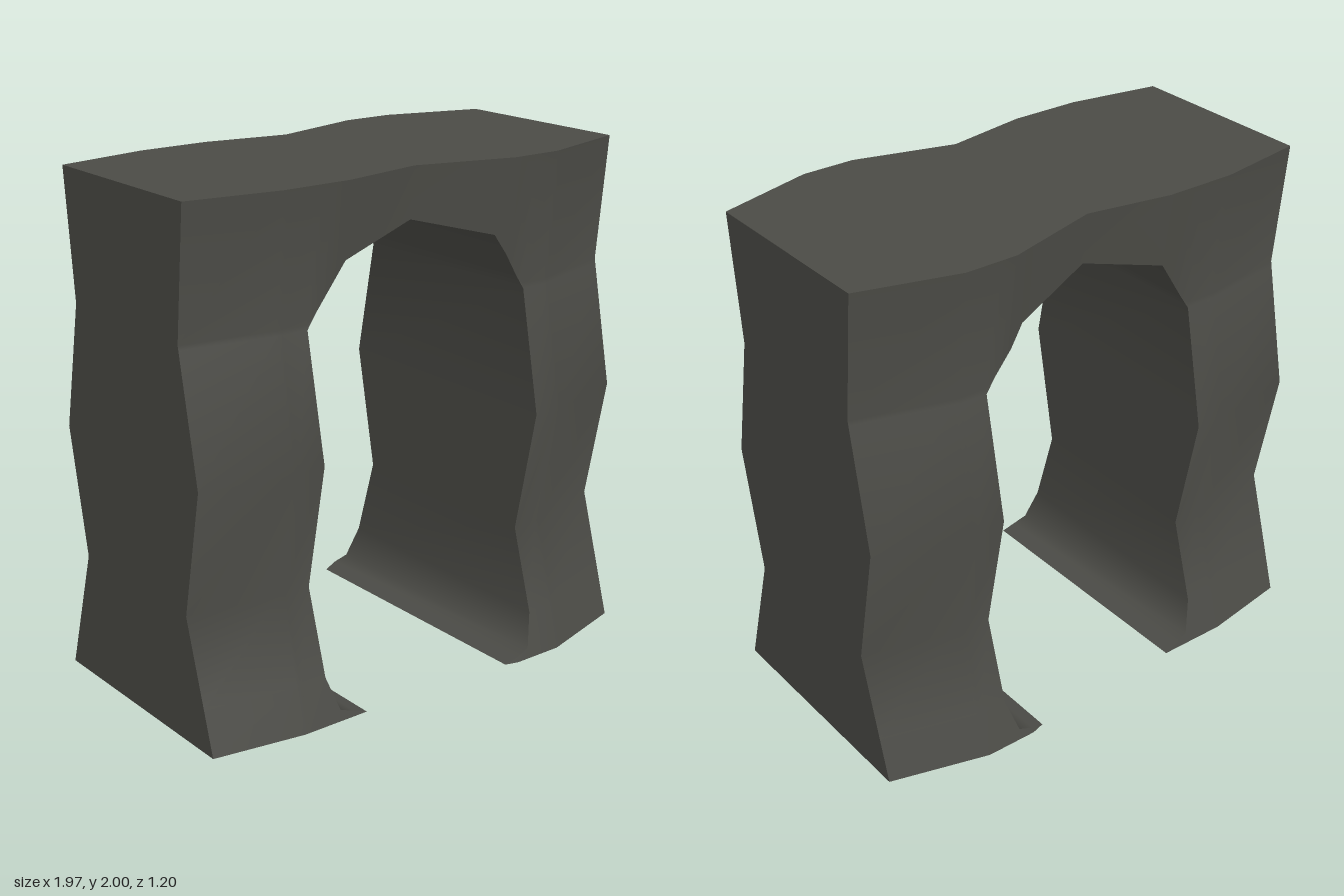
import * as THREE from 'three';
import { toCreasedNormals } from 'three/addons/utils/BufferGeometryUtils.js';

// Piecewise linear curve through [t, value] pairs
const curve = (pts) => (t) => {
  let i = 1;
  while (i < pts.length - 1 && t > pts[i][0]) i++;
  const [t0, v0] = pts[i - 1], [t1, v1] = pts[i];
  return THREE.MathUtils.lerp(v0, v1, (t - t0) / (t1 - t0));
};

const SIDE = 0.985, WALL = 0.49, TIP = 0.335, TOP = 2;

// Half depth is a ripple across the width plus a ripple up the height
const across = curve([[-SIDE, 0.39], [-0.62, 0.45], [-TIP, 0.45], [0, 0.39], [0.39, 0.5], [0.6, 0.5], [SIDE, 0.39]]);
const upward = curve([[0, 0.1], [0.5, -0.05], [1, 0.05], [1.5, -0.05], [2, 0]]);
const depth = (x, y) => across(x) + upward(y);

// Opening: arch overhead and flared feet below, both by distance from the middle
const arch = curve([[0, 1.8], [TIP, 1.71], [WALL, 1.48]]);
const foot = curve([[TIP, 0], [0.45, 0.04], [WALL, 0.17]]);

const half = [TIP, 0.39, 0.45, WALL, 0.6, 0.62, SIDE];
const columns = [...half.map((x) => -x).reverse(), 0, ...half];
const levels = [0, 0.17, 0.5, 1, 1.48, 1.5, TOP];

function makeGeometry(quads) {
  const pos = [];
  const v = quads.map((q) => q.map((p) => new THREE.Vector3(...p)));
  const tri = new THREE.Triangle();
  for (const [a, b, c, d] of v) {
    for (const t of [[a, b, c], [a, c, d]]) {
      tri.set(...t);
      if (tri.getArea() > 1e-7) t.forEach((p) => pos.push(p.x, p.y, p.z));
    }
  }
  const g = new THREE.BufferGeometry();
  g.setAttribute('position', new THREE.Float32BufferAttribute(pos, 3));
  return toCreasedNormals(g, 1.05);
}

// Rippled face, sign +1 for the front and -1 for the back
function faceGeometry(sign) {
  const quads = [];
  const patch = (x0, x1, low, high) => {
    const at = (x, level) => {
      const y = THREE.MathUtils.clamp(level, low(Math.abs(x)), high(Math.abs(x)));
      return [x, y, sign * depth(x, y)];
    };
    for (let j = 0; j < levels.length - 1; j++) {
      const q = [at(x0, levels[j]), at(x1, levels[j]), at(x1, levels[j + 1]), at(x0, levels[j + 1])];
      quads.push(sign > 0 ? q : q.reverse());
    }
  };
  const floor = () => 0, roof = () => TOP;
  for (let i = 0; i < columns.length - 1; i++) {
    const x0 = columns[i], x1 = columns[i + 1], mid = Math.abs(x0 + x1) / 2;
    if (mid > WALL) patch(x0, x1, floor, roof);
    else {
      patch(x0, x1, arch, roof);
      if (mid > TIP) patch(x0, x1, floor, foot);
    }
  }
  return makeGeometry(quads);
}

// Band running front to back along a clockwise path of the outline
function bandGeometry(path) {
  const quads = [];
  for (let i = 0; i < path.length - 1; i++) {
    const [x0, y0] = path[i], [x1, y1] = path[i + 1];
    const d0 = depth(x0, y0), d1 = depth(x1, y1);
    quads.push([[x0, y0, -d0], [x0, y0, d0], [x1, y1, d1], [x1, y1, -d1]]);
  }
  return makeGeometry(quads);
}

export function createModel() {
  const group = new THREE.Group();
  group.name = 'archway';
  const stone = new THREE.MeshStandardMaterial({ color: 0x4b4b46 });
  stone.name = 'dark stone';
  const add = (name, geometry) => {
    const mesh = new THREE.Mesh(geometry, stone);
    mesh.name = name;
    group.add(mesh);
  };
  const mirror = (path) => path.map(([x, y]) => [-x, y]).reverse();

  add('frontFace', faceGeometry(1));
  add('backFace', faceGeometry(-1));

  // Flat top, outer sides and soles
  add('top', bandGeometry(columns.map((x) => [x, TOP])));
  const side = [...levels].reverse().map((y) => [SIDE, y]);
  add('leftSide', bandGeometry(side));
  add('rightSide', bandGeometry(mirror(side)));
  const sole = [...half].reverse().map((x) => [x, 0]);
  add('leftSole', bandGeometry(sole));
  add('rightSole', bandGeometry(mirror(sole)));

  // Passage lining: foot flare, wall, then arch, mirrored about the apex
  const inner = half.filter((x) => x < WALL);
  const lining = [
    ...inner.map((x) => [x, foot(x)]),
    ...levels.filter((y) => y > 0 && y < 1.5).map((y) => [WALL, y]),
    ...[...inner].reverse().map((x) => [x, arch(x)]),
  ];
  add('passageLining', bandGeometry([...lining, [0, arch(0)], ...mirror(lining)]));
  return group;
}
